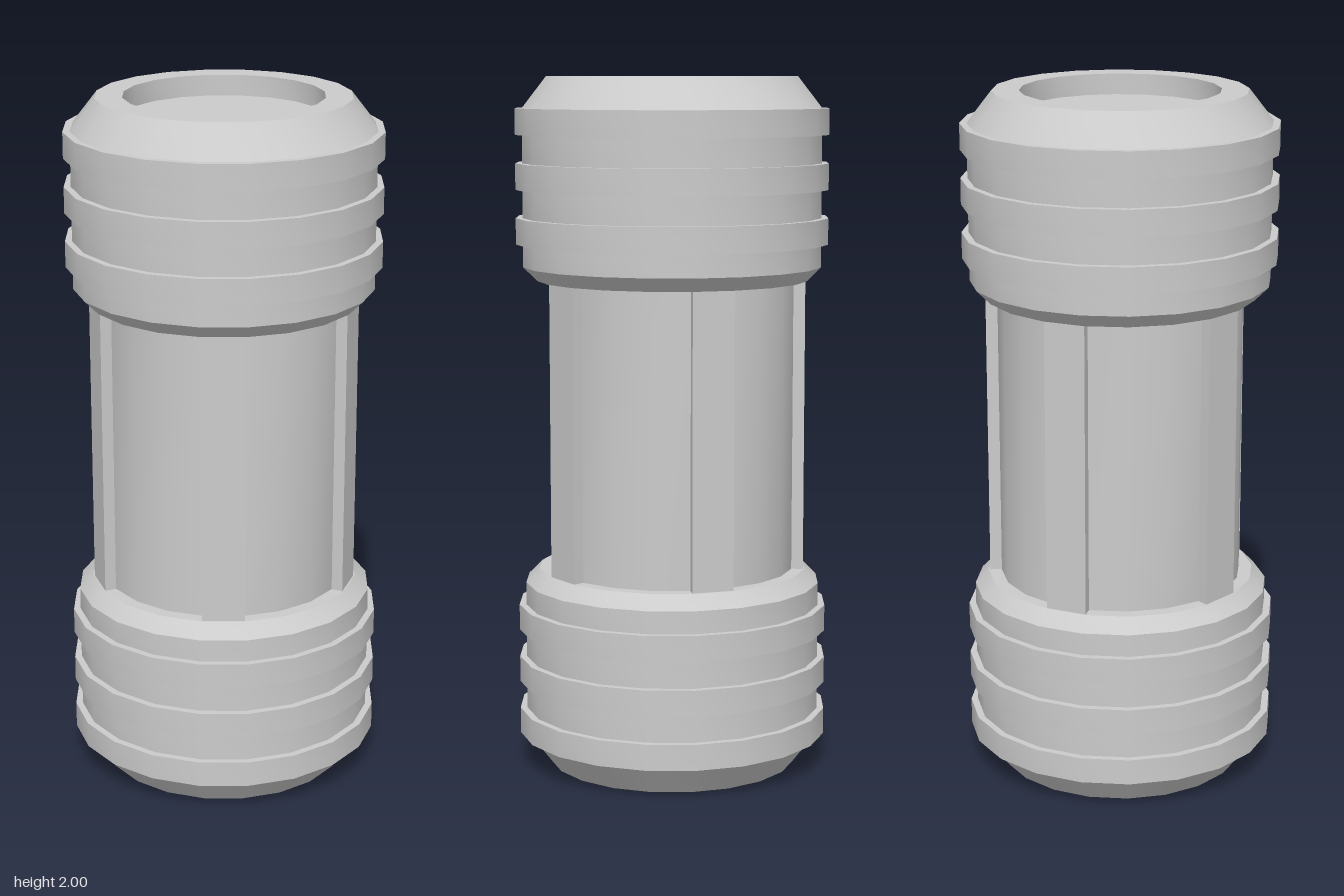
import * as THREE from 'three';
import { toCreasedNormals } from 'three/addons/utils/BufferGeometryUtils.js';

const SIDES = 20;
const STEP = (Math.PI * 2) / SIDES;
const material = new THREE.MeshStandardMaterial({ color: 0xcccccc });

function addPart(group, name, geometry) {
  const mesh = new THREE.Mesh(toCreasedNormals(geometry, 0.5), material);
  mesh.name = name;
  group.add(mesh);
  return mesh;
}

// Upper end cap: lower chamfer, three raised bands, top chamfer, round recess
function capGeometry() {
  const body = 0.43, band = 0.45;
  const profile = [[0, 1.42], [0.39, 1.42], [body, 1.46]];
  for (const [low, high] of [[1.525, 1.6], [1.68, 1.755], [1.835, 1.91]]) {
    profile.push([body, low], [band, low], [band, high], [body, high]);
  }
  profile.push([0.36, 2], [0.283, 2], [0.283, 1.94], [0, 1.94]);
  return new THREE.LatheGeometry(profile.map(([r, y]) => new THREE.Vector2(r, y)), SIDES);
}

// Raised strip covering one facet of the core, with radial side walls
function ribGeometry(angle) {
  const corner = (r, a) => new THREE.Vector2(r * Math.sin(a), -r * Math.cos(a));
  const shape = new THREE.Shape([
    corner(0.33, angle), corner(0.386, angle),
    corner(0.386, angle + STEP), corner(0.33, angle + STEP),
  ]);
  return new THREE.ExtrudeGeometry(shape, { depth: 0.86, bevelEnabled: false })
    .rotateX(-Math.PI / 2)
    .translate(0, 0.57, 0);
}

export function createModel() {
  const model = new THREE.Group();
  model.name = 'canister';

  // Matching end caps, the lower one turned upside down
  addPart(model, 'upperCap', capGeometry());
  addPart(model, 'lowerCap', capGeometry().rotateX(Math.PI).translate(0, 2, 0));

  // Narrow core between the caps
  const core = new THREE.CylinderGeometry(0.352, 0.352, 0.86, SIDES, 1, true);
  addPart(model, 'core', core.translate(0, 1, 0));

  // Five ribs evenly spaced around the core
  const ribs = new THREE.Group();
  ribs.name = 'ribs';
  for (let i = 0; i < 5; i++) addPart(ribs, `rib${i + 1}`, ribGeometry(i * 4 * STEP));
  model.add(ribs);

  return model;
}
